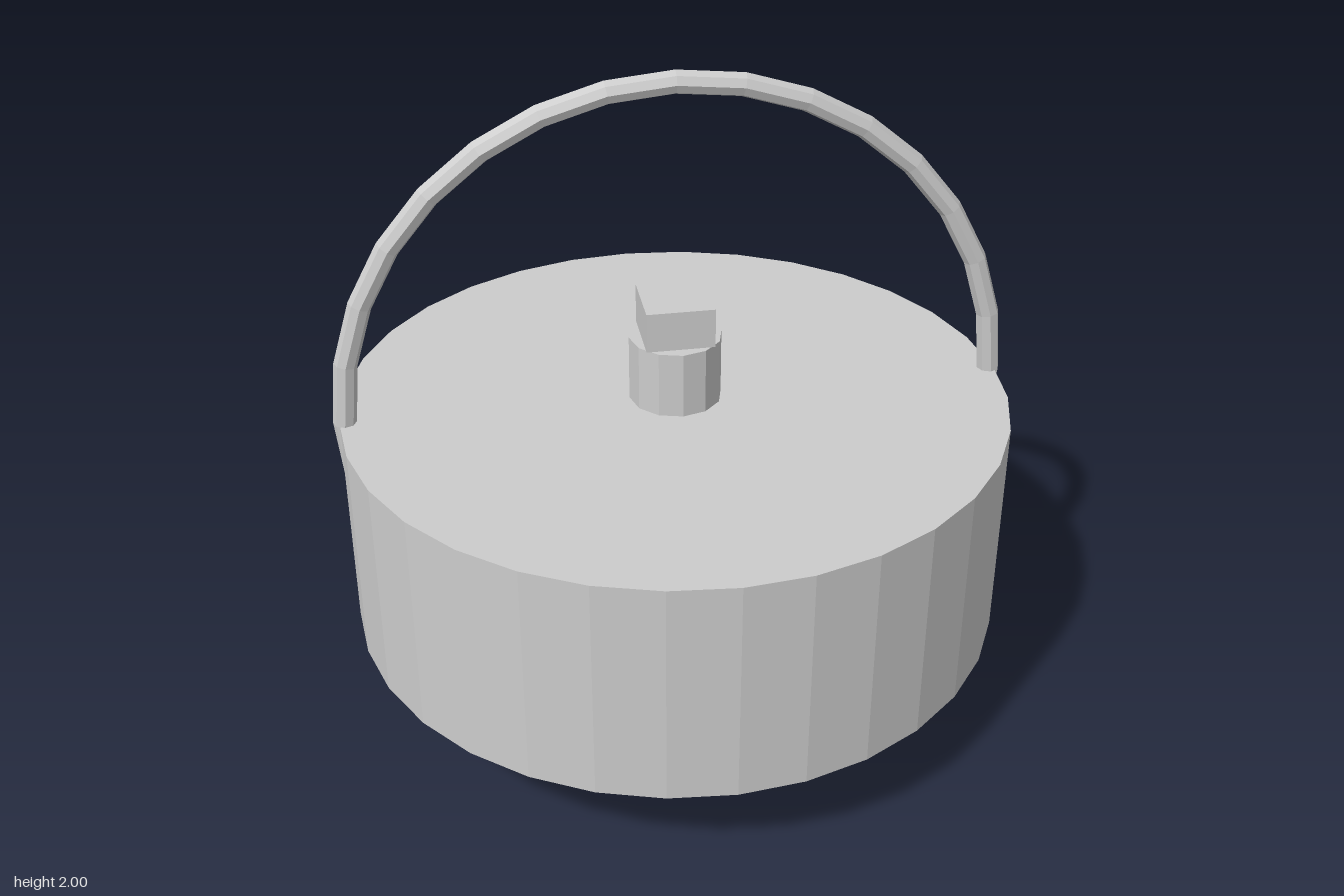
import * as THREE from 'three';

export function createModel() {
  const model = new THREE.Group();
  const material = new THREE.MeshStandardMaterial({ color: 0xcccccc, flatShading: true });

  const add = (name, geometry, y) => {
    const mesh = new THREE.Mesh(geometry, material);
    mesh.name = name;
    mesh.position.y = y;
    model.add(mesh);
  };

  // Drum with a shallow cone underneath, closed by a small flat tip
  const profile = [[0, 0.08], [0.125, 0.08], [0.983, 0.317], [0.983, 1], [0, 1]];
  add('body', new THREE.LatheGeometry(profile.map(([r, y]) => new THREE.Vector2(r, y)), 32), 0);

  // Full hoop that passes through the body and shows above and below it
  add('hoop', new THREE.TorusGeometry(0.966, 0.034, 8, 32), 1);

  // Post and square cap in the middle of the lid
  add('post', new THREE.CylinderGeometry(0.137, 0.137, 0.2, 12), 1.1);
  add('cap', new THREE.BoxGeometry(0.2, 0.12, 0.2), 1.26);

  return model;
}
